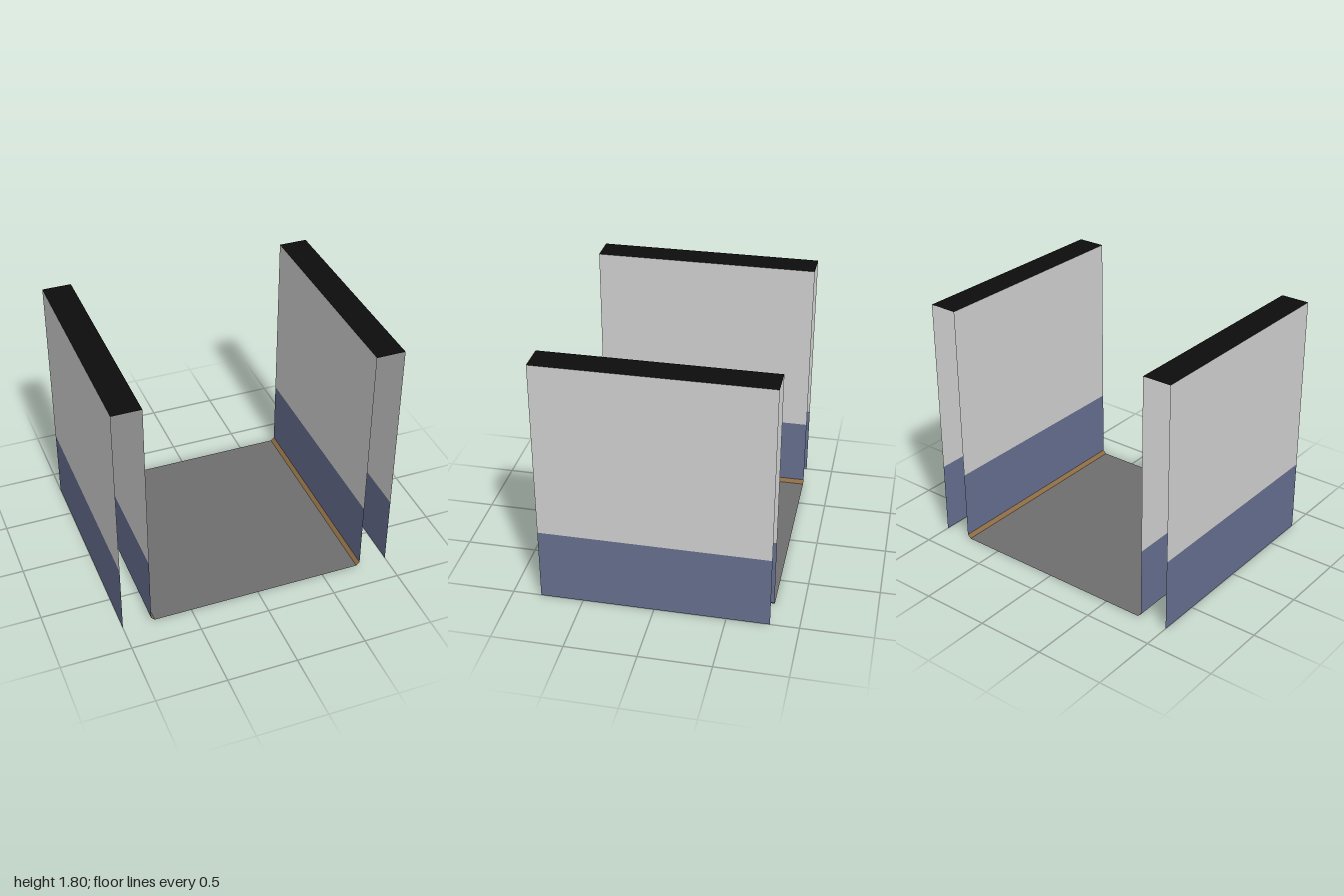
import * as THREE from 'three';

const paint = (name, color) =>
  new THREE.MeshStandardMaterial({ name, color, side: THREE.DoubleSide });

export function createModel() {
  const wallPaint = paint('light grey plaster', 0xd0d0d0);
  const dadoPaint = paint('slate blue', 0x666f8f);
  const floorPaint = paint('floor grey', 0x6e6e6e);
  const trimPaint = paint('brown wood', 0x8c6c44);
  const capPaint = paint('black', 0x0d0d0d);

  const depth = 1.6, height = 1.8, dado = 0.525;
  const inner = 0.795, outer = 1, trim = 0.025;

  const model = new THREE.Group();
  model.name = 'corridorSection';

  // A flat sheet spanning the full depth between two points (x, y)
  function sheet(name, material, [x0, y0], [x1, y1], parent) {
    const geometry = new THREE.PlaneGeometry(Math.hypot(x1 - x0, y1 - y0), depth);
    geometry.rotateX(-Math.PI / 2);
    geometry.rotateZ(Math.atan2(y1 - y0, x1 - x0));
    const mesh = new THREE.Mesh(geometry, material);
    mesh.name = name;
    mesh.position.set((x0 + x1) / 2, (y0 + y1) / 2, 0);
    parent.add(mesh);
  }

  // Floor between the skirtings
  sheet('floor', floorPaint, [-inner + trim, 0], [inner - trim, 0], model);

  // Hollow walls, open at the ends and underneath
  for (const side of [1, -1]) {
    const wall = new THREE.Group();
    wall.name = side > 0 ? 'leftWall' : 'rightWall';
    const a = side * inner, b = side * outer;

    sheet('innerDado', dadoPaint, [a, dado], [a, trim], wall);
    sheet('innerUpperWall', wallPaint, [a, height], [a, dado], wall);
    sheet('outerDado', dadoPaint, [b, dado], [b, 0], wall);
    sheet('outerUpperWall', wallPaint, [b, height], [b, dado], wall);
    sheet('wallCap', capPaint, [Math.min(a, b), height], [Math.max(a, b), height], wall);

    // Sloping skirting where the wall meets the floor
    sheet('skirting', trimPaint, [a, trim], [a - side * trim, 0], wall);
    model.add(wall);
  }
  return model;
}
